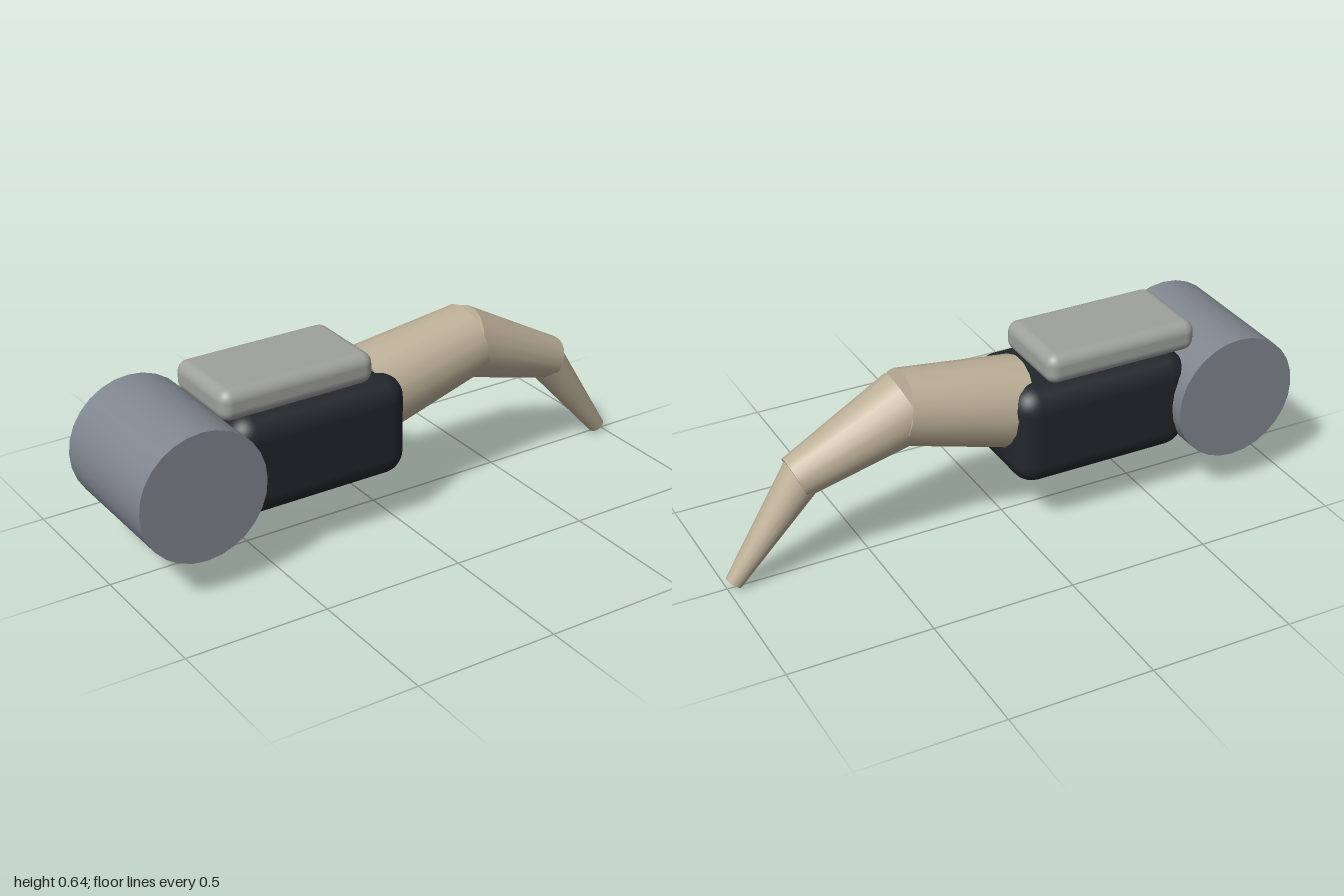
import * as THREE from 'three';
import { RoundedBoxGeometry } from 'three/addons/geometries/RoundedBoxGeometry.js';

const paint = (color) => new THREE.MeshStandardMaterial({ color });

export function createModel() {
  const group = new THREE.Group();
  const add = (name, geometry, material, x, y) => {
    const mesh = new THREE.Mesh(geometry, material);
    mesh.name = name;
    mesh.position.set(x, y, 0);
    group.add(mesh);
    return mesh;
  };

  // Drum lying across the back end
  const drum = new THREE.CylinderGeometry(0.224, 0.224, 0.484, 28).rotateY(Math.PI / 2).rotateX(Math.PI / 2);
  add('drum', drum, paint(0x80868f), -0.776, 0.36);

  // Rounded housing and the pad on top of it
  add('housing', new RoundedBoxGeometry(0.655, 0.355, 0.388, 4, 0.08), paint(0x22262b), -0.3025, 0.3605);
  add('topPad', new RoundedBoxGeometry(0.562, 0.108, 0.322, 4, 0.04), paint(0x9fa19c), -0.376, 0.588);

  // Three tapered segments: start point, end point, start and end radius
  const tan = paint(0xbdb098);
  const segments = [
    ['baseSegment', [-0.035, 0.425], [0.383, 0.515], 0.157, 0.126],
    ['middleSegment', [0.35, 0.511], [0.745, 0.35], 0.125, 0.075],
    ['tipSegment', [0.71, 0.366], [0.976, 0.018], 0.073, 0.03],
  ];
  for (const [name, [x0, y0], [x1, y1], r0, r1] of segments) {
    const geometry = new THREE.CylinderGeometry(r1, r0, Math.hypot(x1 - x0, y1 - y0), 18);
    const mesh = add(name, geometry, tan, (x0 + x1) / 2, (y0 + y1) / 2);
    mesh.rotation.z = Math.atan2(y1 - y0, x1 - x0) - Math.PI / 2;
  }
  return group;
}
